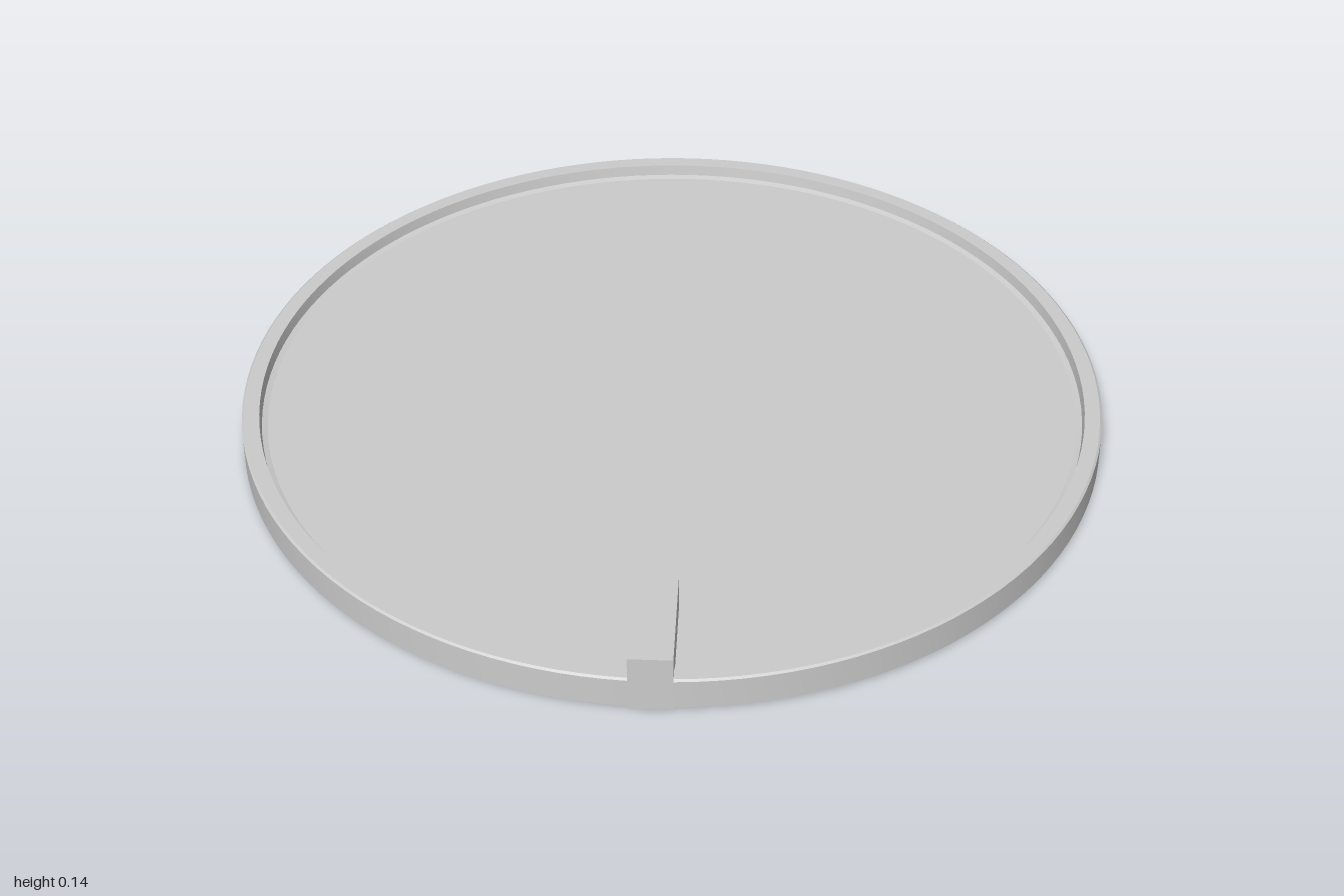
import * as THREE from 'three';
import { toCreasedNormals } from 'three/addons/utils/BufferGeometryUtils.js';

const material = new THREE.MeshStandardMaterial({ color: 0xcccccc });

function addPart(group, name, geometry) {
  const mesh = new THREE.Mesh(geometry, material);
  mesh.name = name;
  group.add(mesh);
  return mesh;
}

export function createModel() {
  const group = new THREE.Group();
  group.name = 'dialDish';
  const floorY = 0.05, rimY = 0.08;

  // Round body: flat underside, upright wall, narrow rim sloping in to the floor
  const profile = [
    [0, 0], [0.99, 0], [0.997, 0.005], [0.997, rimY - 0.004], [0.992, rimY],
    [0.957, rimY], [0.953, floorY + 0.004], [0.94, floorY],
  ].map(([r, y]) => new THREE.Vector2(r, y));
  addPart(group, 'rimAndBase', toCreasedNormals(new THREE.LatheGeometry(profile, 128), 0.5));

  // Flat face inside the rim
  const face = addPart(group, 'face', new THREE.CircleGeometry(0.94, 128));
  face.rotation.x = -Math.PI / 2;
  face.position.y = floorY;

  // Pointer bar across the front rim, with its tip towards the centre
  const outline = new THREE.Shape([
    [-0.048, -1], [0.048, -1], [0.048, -0.74], [0.008, -0.695], [-0.008, -0.695], [-0.048, -0.74],
  ].map(([x, y]) => new THREE.Vector2(x, y)));
  const pointer = addPart(group, 'pointer',
    new THREE.ExtrudeGeometry(outline, { depth: 0.138, bevelEnabled: false }));
  pointer.rotation.x = -Math.PI / 2;
  pointer.position.y = 0.002;

  return group;
}
